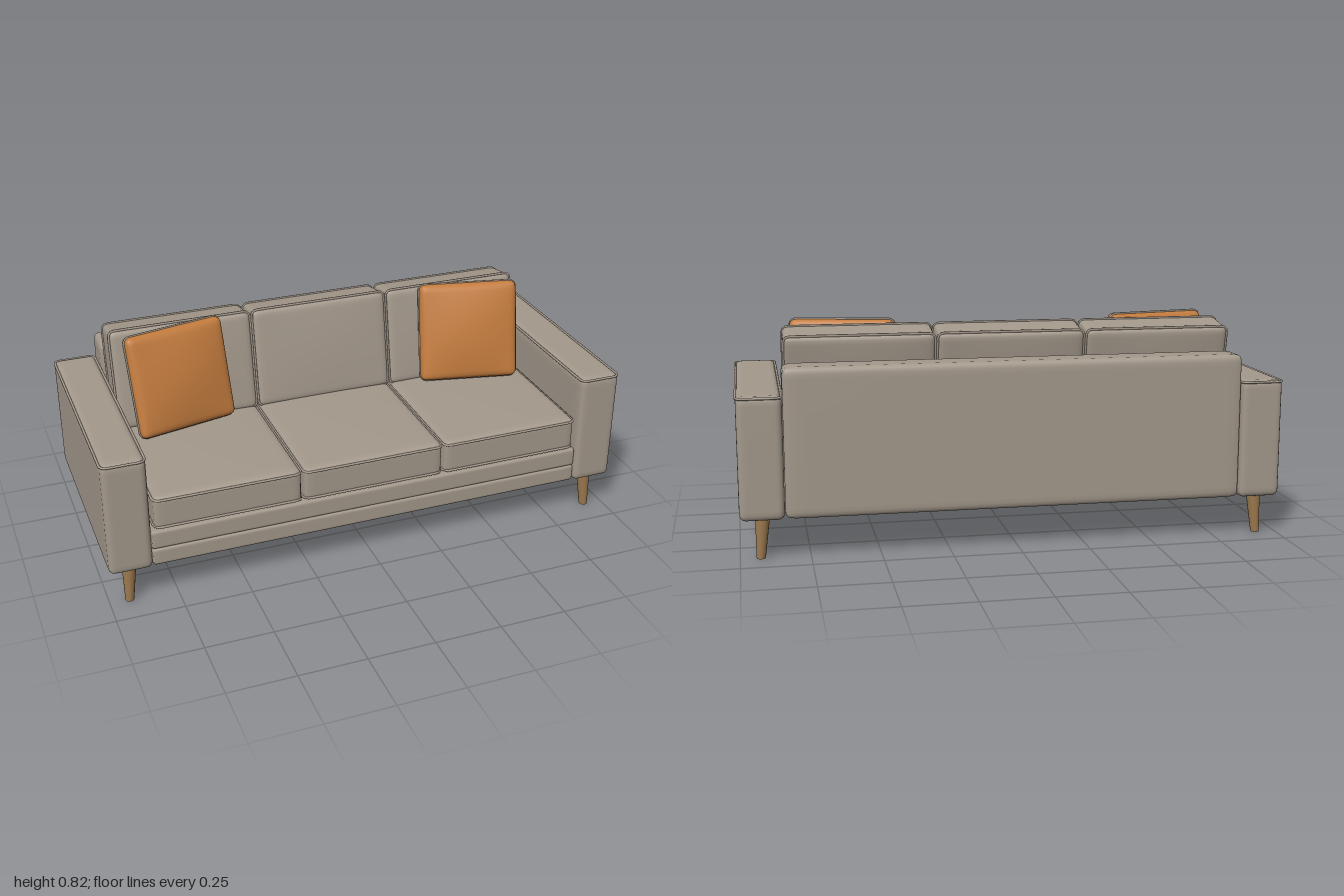
import * as THREE from 'three';
import { mergeVertices } from 'three/addons/utils/BufferGeometryUtils.js';

const fabric = new THREE.MeshStandardMaterial({ name: 'greyFabric', color: 0xa3988b });
const orange = new THREE.MeshStandardMaterial({ name: 'orangeFabric', color: 0xc27b3e });
const wood = new THREE.MeshStandardMaterial({ name: 'wood', color: 0x9a784e });

// Soft block: a box with rounded edges whose two faces along `axis` swell by `bulge`
function softBox(w, h, d, r, axis = 'y', bulge = 0) {
  let geo = new THREE.BoxGeometry(w, h, d, 22, 22, 22);
  geo.deleteAttribute('normal');
  geo.deleteAttribute('uv');
  const half = new THREE.Vector3(w / 2, h / 2, d / 2);
  const inner = half.clone().subScalar(r);
  const pos = geo.attributes.position;
  const p = new THREE.Vector3(), c = new THREE.Vector3();
  for (let i = 0; i < pos.count; i++) {
    p.fromBufferAttribute(pos, i);
    // crowd the grid lines towards the edges
    for (const k of ['x', 'y', 'z']) p[k] = half[k] * Math.sin((p[k] / half[k]) * Math.PI / 2);
    let swell = bulge;
    for (const k of ['x', 'y', 'z']) if (k !== axis) swell *= 1 - (p[k] / half[k]) ** 2;
    c.copy(p).clamp(inner.clone().negate(), inner);
    p.sub(c);
    if (p.lengthSq() > 0) p.setLength(r);
    p.add(c);
    p[axis] += swell * p[axis] / half[axis];
    pos.setXYZ(i, p.x, p.y, p.z);
  }
  geo = mergeVertices(geo, 1e-5);
  geo.computeVertexNormals();
  return geo;
}

// Closed cord following a rounded rectangle in the XY plane
function cord(w, h, r, thickness) {
  const x = w / 2 - r, y = h / 2 - r, q = Math.PI / 2;
  const shape = new THREE.Shape();
  shape.absarc(x, y, r, 0, q);
  shape.absarc(-x, y, r, q, 2 * q);
  shape.absarc(-x, -y, r, 2 * q, 3 * q);
  shape.absarc(x, -y, r, 3 * q, 4 * q);
  shape.closePath();
  const pts = shape.getSpacedPoints(120).slice(0, -1).map(v => new THREE.Vector3(v.x, v.y, 0));
  return new THREE.TubeGeometry(new THREE.CatmullRomCurve3(pts, true), 140, thickness, 6, true);
}

function add(parent, name, geo, mat, x = 0, y = 0, z = 0) {
  const mesh = new THREE.Mesh(geo, mat);
  mesh.name = name;
  mesh.position.set(x, y, z);
  parent.add(mesh);
  return mesh;
}

export function createModel() {
  const sofa = new THREE.Group();
  sofa.name = 'sofa';

  // Frame: two stacked base rails and the back panel
  add(sofa, 'lowerBase', softBox(1.68, 0.068, 0.8, 0.012), fabric, 0, 0.183, 0.03);
  add(sofa, 'upperBase', softBox(1.68, 0.075, 0.8, 0.012), fabric, 0, 0.253, 0.03);
  add(sofa, 'backPanel', softBox(1.675, 0.54, 0.137, 0.025), fabric, 0, 0.418, -0.373);

  // Seat and back cushions in three columns
  const seatGeo = softBox(0.545, 0.135, 0.74, 0.022, 'y', 0.006);
  const seatCord = cord(0.545, 0.74, 0.022, 0.005);
  const backGeo = softBox(0.545, 0.385, 0.15, 0.022, 'z', 0.008);
  const backCord = cord(0.545, 0.385, 0.022, 0.005);
  for (const i of [-1, 0, 1]) {
    const x = i * 0.553;
    add(sofa, 'seatCushion', seatGeo, fabric, x, 0.358, 0.06);
    for (const y of [0.412, 0.304]) add(sofa, 'seatPiping', seatCord, fabric, x, y, 0.06).rotation.x = Math.PI / 2;

    const back = new THREE.Group();
    back.name = 'backCushion';
    back.position.set(x, 0.598, -0.197);
    back.rotation.x = -0.18;
    add(back, 'backCushionBody', backGeo, fabric);
    for (const z of [-0.062, 0.062]) add(back, 'backPiping', backCord, fabric, 0, 0, z);
    sofa.add(back);
  }

  // Mirrored arms, legs and pillows
  const armGeo = softBox(0.16, 0.445, 0.878, 0.024);
  const armCord = cord(0.157, 0.875, 0.022, 0.005);
  const pillowGeo = softBox(0.39, 0.385, 0.066, 0.024, 'z', 0.026);
  const pillowCord = cord(0.39, 0.385, 0.024, 0.005);
  for (const side of [-1, 1]) {
    add(sofa, 'arm', armGeo, fabric, side * 0.919, 0.3685, 0);
    add(sofa, 'armPiping', armCord, fabric, side * 0.919, 0.583, 0).rotation.x = Math.PI / 2;

    // Tapered legs leaning slightly outwards
    for (const end of [-1, 1]) {
      const leg = new THREE.CylinderGeometry(0.027, 0.016, 0.16, 24);
      const p = leg.attributes.position;
      for (let i = 0; i < p.count; i++) {
        const lean = -p.getY(i) / 0.16 * 0.01;
        p.setX(i, p.getX(i) + side * lean);
        p.setZ(i, p.getZ(i) + end * lean);
      }
      leg.computeVertexNormals();
      add(sofa, 'leg', leg, wood, side * 0.922, 0.08, end * 0.382);
    }

    const pillow = new THREE.Group();
    pillow.name = 'pillow';
    pillow.position.set(side * 0.592, 0.627, -0.055);
    pillow.rotation.set(-0.25, -side * 0.215, 0, 'YXZ');
    add(pillow, 'pillowBody', pillowGeo, orange);
    add(pillow, 'pillowPiping', pillowCord, fabric);
    sofa.add(pillow);
  }
  return sofa;
}
